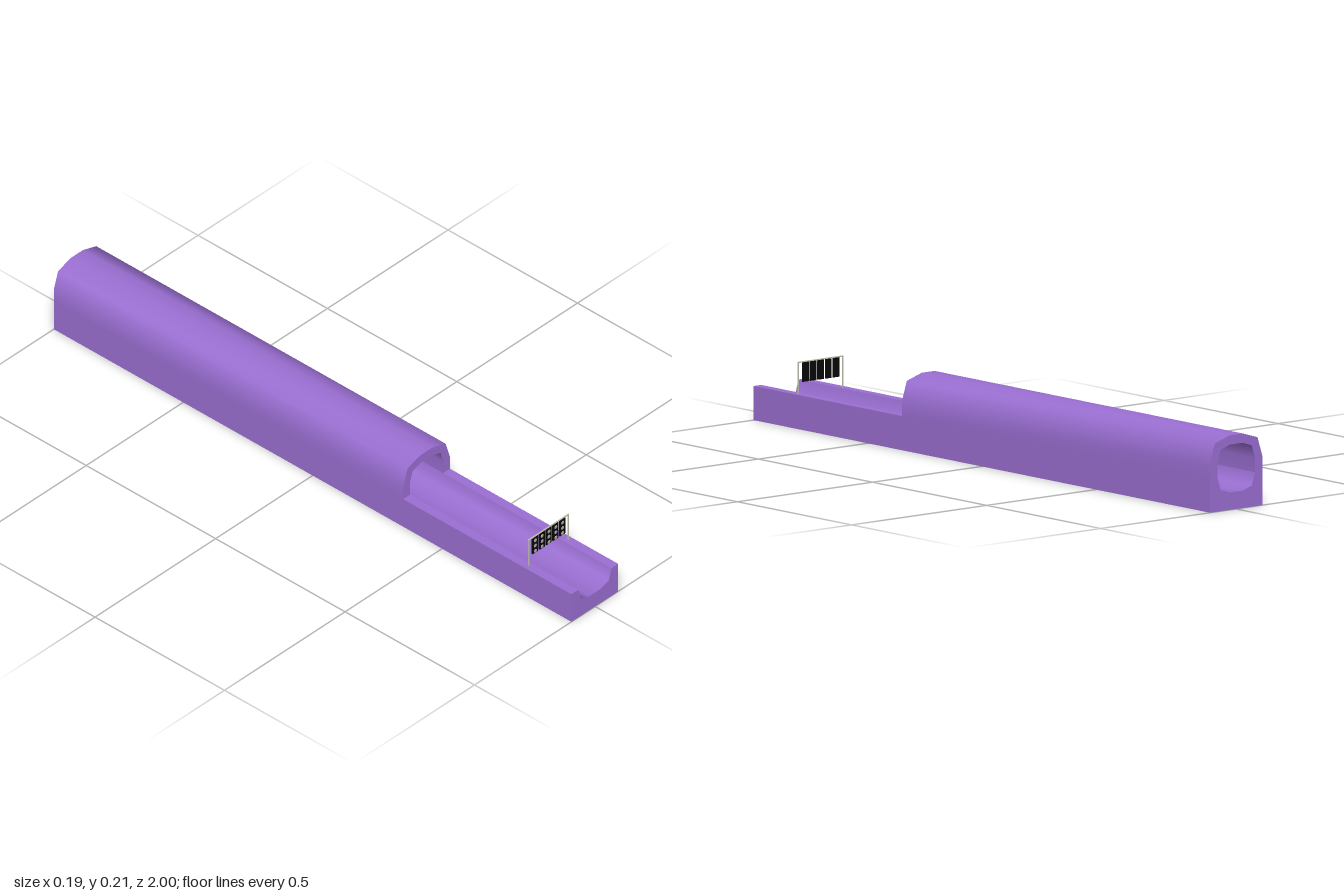
import * as THREE from 'three';
import { toCreasedNormals } from 'three/addons/utils/BufferGeometryUtils.js';

const material = (name, color) => {
  const m = new THREE.MeshStandardMaterial({ color });
  m.name = name;
  return m;
};

export function createModel() {
  const purple = material('purple', 0x9b6fd3);
  const black = material('black', 0x080808);
  const pale = material('pale metal', 0xc4c6b0);
  const grey = material('lamp grey', 0xaaa6a0);
  const model = new THREE.Group();
  model.name = 'tunnelTrack';
  const cx = -0.001; // small sideways offset of the whole track

  const add = (parent, name, geometry, mat, x = 0, y = 0, z = 0) => {
    const mesh = new THREE.Mesh(geometry, mat);
    mesh.name = name;
    mesh.position.set(x, y, z);
    parent.add(mesh);
    return mesh;
  };
  // Completes a half profile with its mirror image
  const mirrored = (half) => [...half, ...half.slice().reverse().map(([x, y]) => [-x, y])];
  // Extrudes a closed cross-section along z
  const channel = (name, points, back, front) => {
    const shape = new THREE.Shape(points.map(([x, y]) => new THREE.Vector2(x, y)));
    const geo = new THREE.ExtrudeGeometry(shape, { depth: front - back, bevelEnabled: false });
    return add(model, name, toCreasedNormals(geo, 1.05), purple, cx, 0, back);
  };

  // Lower channel with a faceted trough
  const trough = mirrored([[-0.069, 0.098], [-0.058, 0.061], [-0.024, 0.05]]);
  channel('lowerChannel', [[-0.097, 0.098], [-0.097, 0], [0.097, 0], [0.097, 0.098], ...trough.slice().reverse()], -1, 1);

  // Arched tunnel roof
  const outer = mirrored([[-0.097, 0.098], [-0.097, 0.14], [-0.079, 0.197], [-0.024, 0.214]]);
  const inner = mirrored([[-0.069, 0.098], [-0.069, 0.14], [-0.058, 0.176], [-0.024, 0.187]]);
  channel('tunnelRoof', [...outer, ...inner.reverse()], -1, 0.35);

  // Light gantry over the open end
  const gantry = new THREE.Group();
  gantry.name = 'lightGantry';
  gantry.position.set(0, 0, 0.82);
  model.add(gantry);
  for (const side of [-1, 1]) {
    add(gantry, 'gantryPost', new THREE.BoxGeometry(0.0032, 0.092, 0.0032), pale, side * 0.082, 0.143, 0);
  }
  add(gantry, 'gantryBar', new THREE.BoxGeometry(0.167, 0.0032, 0.0032), pale, 0, 0.188, 0);

  // Five panels, each with three lamps
  const lamp = new THREE.SphereGeometry(0.0062, 12, 8);
  for (let i = -2; i <= 2; i++) {
    const x = i * 0.0282;
    add(gantry, 'lampPanel', new THREE.BoxGeometry(0.022, 0.056, 0.004), black, x, 0.1585, 0);
    for (const y of [0.137, 0.1555, 0.174]) {
      add(gantry, 'lamp', lamp, grey, x, y, 0.002).scale.z = 0.3;
    }
  }
  return model;
}
